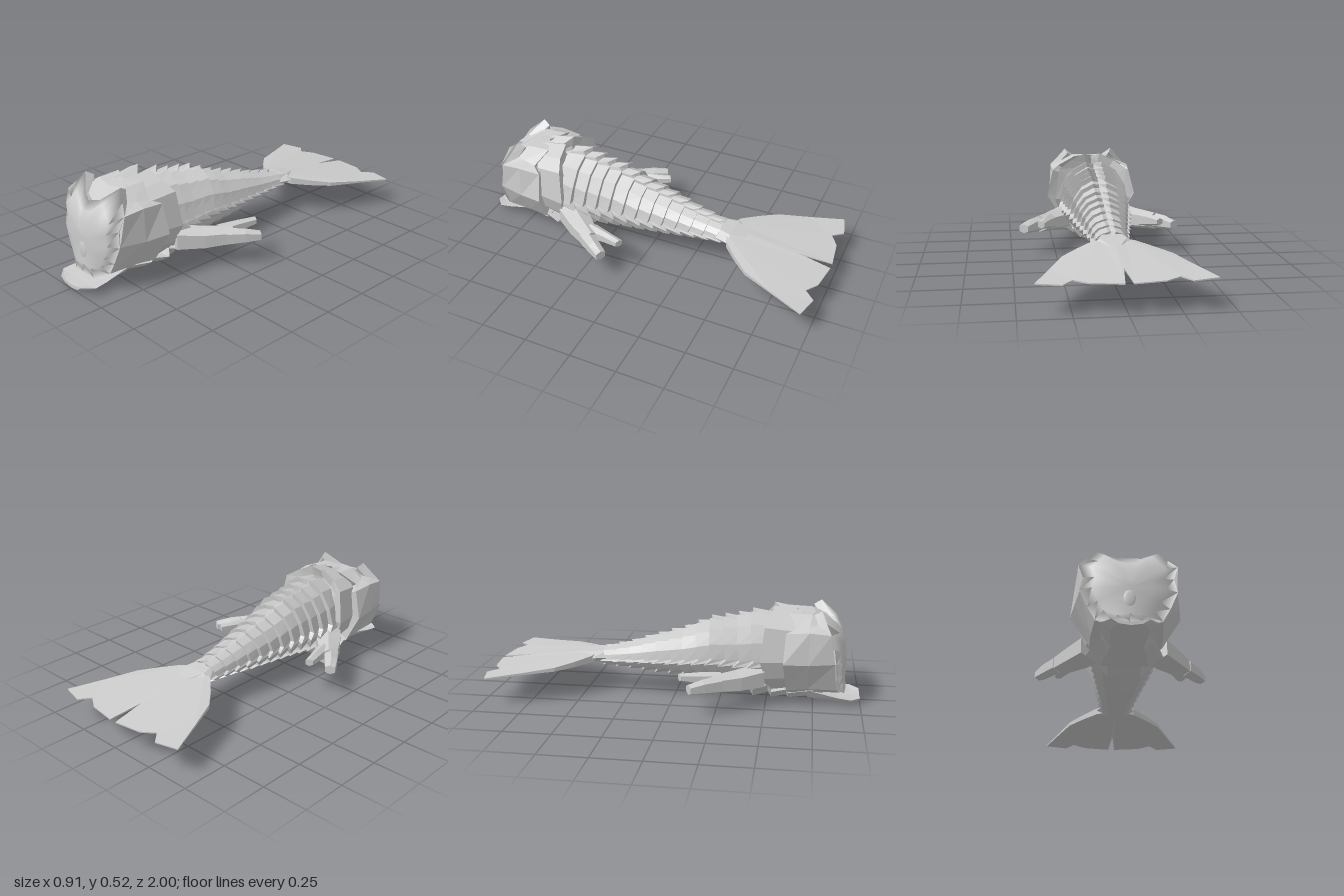
import * as THREE from 'three';

const shell = new THREE.MeshStandardMaterial({ color: 0xcccccc, side: THREE.DoubleSide });
shell.name = 'shellGrey';

// Closed ring from a right-to-bottom half outline that starts and ends on x = 0
const mirrorRing = half => [...half, ...half.slice(1, -1).reverse().map(([x, y, z]) => [-x, y, z])];

// Skin rings from front to rear, capped at both ends
function loft(rings, smooth = false) {
  const n = rings[0].length, pos = rings.flat(2), index = [];
  const centre = ring => [0, 1, 2].map(k => ring.reduce((s, p) => s + p[k], 0) / n);
  const first = rings.length * n, last = first + 1, end = (rings.length - 1) * n;
  pos.push(...centre(rings[0]), ...centre(rings[rings.length - 1]));
  for (let i = 0; i < n; i++) {
    const j = (i + 1) % n;
    for (let r = 0; r < end; r += n) index.push(r + i, r + j, r + n + i, r + j, r + n + j, r + n + i);
    index.push(first, j, i, last, end + i, end + j);
  }
  let g = new THREE.BufferGeometry();
  g.setAttribute('position', new THREE.Float32BufferAttribute(pos, 3));
  g.setIndex(index);
  if (!smooth) g = g.toNonIndexed();
  g.computeVertexNormals();
  return g;
}

// Mirrored copy across x = 0 with its winding restored
function mirrored(geometry) {
  const g = geometry.index ? geometry.toNonIndexed() : geometry.clone();
  const p = g.attributes.position;
  for (let i = 0; i < p.count; i += 3) {
    const t = [0, 2, 1].map(k => [-p.getX(i + k), p.getY(i + k), p.getZ(i + k)]);
    t.forEach((v, k) => p.setXYZ(i + k, ...v));
  }
  g.computeVertexNormals();
  return g;
}

// Half width, top and bottom of the body along z
const BODY = [[0.65, 0.22, 0.49, 0.05], [0.5, 0.22, 0.5, 0.06], [0.36, 0.2, 0.455, 0.08], [0.2, 0.185, 0.43, 0.1],
  [0.05, 0.16, 0.365, 0.11], [-0.1, 0.135, 0.325, 0.12], [-0.25, 0.11, 0.275, 0.135], [-0.45, 0.085, 0.23, 0.15]];
function bodyAt(z) {
  let i = 0;
  while (i < BODY.length - 2 && z < BODY[i + 1][0]) i++;
  const a = BODY[i], b = BODY[i + 1], t = (a[0] - z) / (a[0] - b[0]);
  return [1, 2, 3].map(k => a[k] + (b[k] - a[k]) * t);
}

// Unit half section (x, y) and how far each point of the rear rim reaches back
const SECTION = [[0, 0.96, -0.03], [0.22, 1, 0.01], [0.6, 0.88, 0.005], [0.86, 0.66, 0], [0.94, 0.42, -0.015],
  [1, 0.34, 0.025], [0.82, 0.16, -0.01], [0.52, 0.02, 0.015], [0, 0, -0.01]];
function bodyRing(z, scale, rim) {
  const [w, top, bottom] = bodyAt(z), mid = (top + bottom) / 2;
  return mirrorRing(SECTION.map(([x, y, back]) =>
    [x * w * scale, mid + (bottom + y * (top - bottom) - mid) * scale, z - back * rim]));
}

// Tapering limb from [x, y, z, half width, half height] stations
function limb(stations) {
  const angles = [90, 35, -35, -90, -145, 145].map(a => a * Math.PI / 180);
  return loft(stations.map(([x, y, z, w, h]) => angles.map(a =>
    [x + Math.cos(a) * w * 0.85, y + Math.sin(a) * h, z + Math.cos(a) * w * 0.5])));
}

export function createModel() {
  const model = new THREE.Group();
  const add = (name, geometry, parent = model) => {
    const mesh = new THREE.Mesh(geometry, shell);
    mesh.name = name;
    parent.add(mesh);
    return mesh;
  };

  // Face shield with two horns and a bulging smooth front
  const rim = [[0, 0.43, 0.865], [0.06, 0.445, 0.84], [0.145, 0.515, 0.78], [0.19, 0.46, 0.805], [0.235, 0.41, 0.83],
    [0.212, 0.33, 0.85], [0.228, 0.255, 0.86], [0.19, 0.16, 0.87], [0.155, 0.095, 0.875], [0.075, 0.055, 0.915], [0, 0.065, 0.925]];
  const inner = (s, bulge) => mirrorRing(rim.map(([x, y, z]) =>
    [x * s, 0.24 + (y - 0.24) * s, z + (0.918 - z) * bulge]));
  const shieldRim = mirrorRing(rim);
  add('faceShield', loft([inner(0.2, 1), inner(0.5, 0.88), inner(0.75, 0.6), shieldRim], true));
  add('faceShieldBack', loft([shieldRim, mirrorRing(rim.map(([x, y, z]) => [x * 0.9, 0.24 + (y - 0.24) * 0.92, z - 0.04]))]));

  // Raised ovals on the middle of the face
  [['upperEye', 0.342, 0.036, 0.052, 0.895, -0.16], ['lowerEye', 0.186, 0.03, 0.046, 0.915, 0]].forEach(([name, y, rx, ry, z, tilt]) => {
    const eye = add(name, new THREE.SphereGeometry(1, 20, 12));
    eye.scale.set(rx, ry, 0.008);
    eye.position.set(0, y, z);
    eye.rotation.x = tilt;
  });

  // Head block, flaring backward into cheek plates
  const headFront = [[0, 0.42, 0.85], [0.1, 0.45, 0.82], [0.17, 0.44, 0.81], [0.235, 0.41, 0.83], [0.225, 0.255, 0.855],
    [0.155, 0.095, 0.87], [0.07, 0.055, 0.89], [0, 0.06, 0.9]];
  const headMid = [[0, 0.48, 0.75], [0.1, 0.485, 0.73], [0.18, 0.44, 0.72], [0.24, 0.42, 0.72], [0.25, 0.25, 0.72],
    [0.17, 0.1, 0.72], [0.08, 0.06, 0.72], [0, 0.06, 0.72]];
  const headRear = [[0, 0.49, 0.66], [0.1, 0.49, 0.61], [0.195, 0.43, 0.65], [0.232, 0.41, 0.6], [0.27, 0.255, 0.59],
    [0.175, 0.09, 0.61], [0.1, 0.045, 0.63], [0, 0.04, 0.64]];
  const headLip = headRear.map(([x, y, z]) => [x * 0.78, 0.25 + (y - 0.25) * 0.85, z + 0.02]);
  add('head', loft([headFront, headMid, headRear, headLip].map(mirrorRing)));

  // Neck collar with twin peaks on top
  const collar = [[0, 0.485, 0.57], [0.045, 0.516, 0.53], [0.13, 0.475, 0.52], [0.2, 0.43, 0.49], [0.23, 0.25, 0.47],
    [0.19, 0.15, 0.5], [0.1, 0.055, 0.5], [0, 0.05, 0.52]];
  const collarAt = (s, dz) => mirrorRing(collar.map(([x, y, z]) => [x * s, 0.25 + (y - 0.25) * s, z + dz]));
  add('neckCollar', loft([collarAt(0.9, 0.15), collarAt(1, 0), collarAt(0.8, 0.01)]));

  // Overlapping armour rings down to the tail
  const armour = new THREE.Group();
  armour.name = 'bodyArmour';
  model.add(armour);
  for (let i = 0; i < 12; i++) {
    const z = 0.42 - i * 0.074;
    add('armourRing', loft([bodyRing(z + 0.1, 0.84, 0), bodyRing(z, 1.03, 1), bodyRing(z, 0.85, 0.6)]), armour);
  }
  add('bodyCore', loft([0.65, 0.4, 0.1, -0.2, -0.45].map(z => bodyRing(z, 0.8, 0))), armour);

  // Jaw scoop and the throat plates behind it: [z, half width, top, bottom]
  const plate = (name, rows) => add(name, loft(rows.map(([z, w, top, bottom]) => mirrorRing(
    [[0, top - 0.012, z], [w * 0.6, top - 0.008, z], [w, top, z], [w * 0.62, bottom + 0.008, z], [0, bottom, z]]))));
  plate('jaw', [[1, 0.085, 0.035, 0.005], [0.95, 0.14, 0.038, 0], [0.88, 0.135, 0.045, 0.004], [0.72, 0.12, 0.075, 0.015]]);
  plate('throatPlate', [[0.8, 0.11, 0.08, 0.035], [0.62, 0.16, 0.07, 0.018], [0.6, 0.14, 0.09, 0.04]]);
  plate('throatPlate', [[0.7, 0.13, 0.1, 0.05], [0.53, 0.19, 0.08, 0.022], [0.51, 0.16, 0.11, 0.05]]);
  plate('throatPlate', [[0.58, 0.13, 0.12, 0.06], [0.43, 0.13, 0.07, 0.012], [0.4, 0.1, 0.11, 0.05]]);

  // Swept-back arms, each ending in two prongs
  const armParts = {
    arm: limb([[0.15, 0.155, 0.46, 0.09, 0.07], [0.24, 0.15, 0.35, 0.08, 0.06], [0.335, 0.155, 0.23, 0.055, 0.048]]),
    outerProng: limb([[0.32, 0.153, 0.27, 0.05, 0.048], [0.385, 0.155, 0.19, 0.04, 0.04], [0.43, 0.152, 0.125, 0.034, 0.026]]),
    innerProng: limb([[0.27, 0.16, 0.27, 0.045, 0.045], [0.305, 0.175, 0.16, 0.032, 0.033], [0.335, 0.185, 0.065, 0.026, 0.02]]),
  };
  for (const side of ['left', 'right']) {
    const group = new THREE.Group();
    group.name = side + 'Arm';
    model.add(group);
    for (const [name, g] of Object.entries(armParts)) add(name, side === 'left' ? g : mirrored(g), group);
  }

  // Tail fluke: half outline given as x and z, thin and sloping down to the tips
  const outline = [[0, -0.42], [0.06, -0.44], [0.11, -0.455], [0.19, -0.53], [0.27, -0.62], [0.34, -0.78], [0.418, -0.96],
    [0.295, -0.99], [0.245, -0.935], [0.175, -0.98], [0.02, -1], [0, -0.82]];
  const fluke = new THREE.ExtrudeGeometry(new THREE.Shape(outline.map(([x, z]) => new THREE.Vector2(x, -z))),
    { depth: 1, bevelEnabled: false });
  fluke.rotateX(-Math.PI / 2);
  const p = fluke.attributes.position;
  for (let i = 0; i < p.count; i++) {
    const x = p.getX(i), z = p.getZ(i), t = (z + 1) / 0.58;
    const top = 0.152 + 0.073 * t - 0.09 * x * t;
    p.setY(i, p.getY(i) > 0.5 ? top : top - 0.006 - 0.035 * t * t);
  }
  fluke.computeVertexNormals();
  add('leftFluke', fluke);
  add('rightFluke', mirrored(fluke));

  // Flared plates joining the tail to the fluke
  const stem = [[-0.36, 0.075, 0.235, 0.15], [-0.46, 0.11, 0.225, 0.17], [-0.56, 0.03, 0.205, 0.175]];
  add('tailStem', loft(stem.map(([z, w, top, bottom]) => mirrorRing(
    [[0, top, z], [w * 0.6, top, z], [w, (top + bottom) / 2, z], [w * 0.6, bottom, z], [0, bottom, z]]))));

  return model;
}
